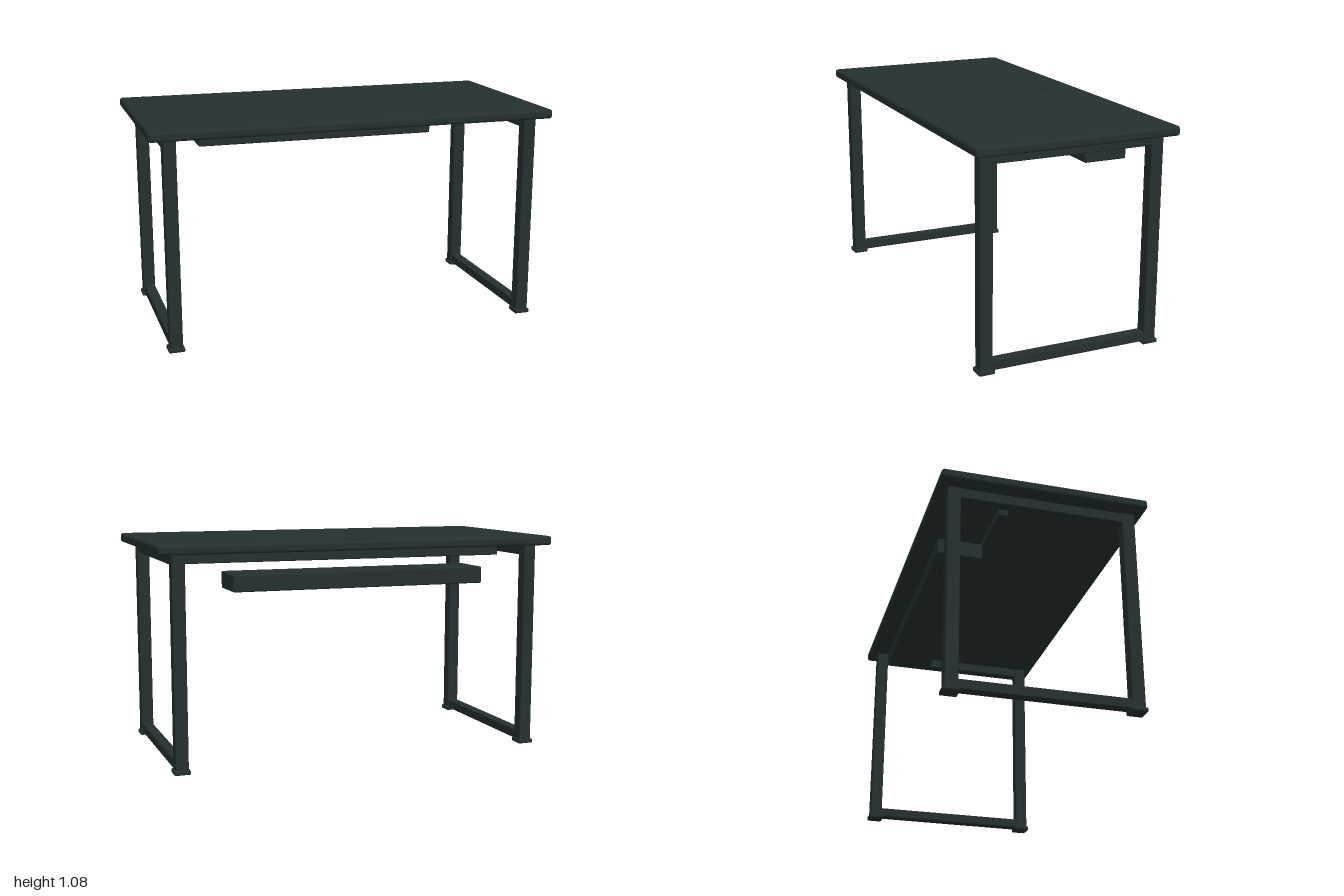
import * as THREE from 'three';
import { RoundedBoxGeometry } from 'three/addons/geometries/RoundedBoxGeometry.js';

export function createModel() {
  const desk = new THREE.Group();
  desk.name = 'desk';
  const charcoal = new THREE.MeshStandardMaterial({ color: 0x243030 });
  charcoal.name = 'charcoal';

  // Softly rounded box given by its extents on each axis
  function box(parent, name, [x0, x1], [y0, y1], [z0, z1], radius) {
    const geo = new RoundedBoxGeometry(x1 - x0, y1 - y0, z1 - z0, 3, radius);
    const mesh = new THREE.Mesh(geo, charcoal);
    mesh.name = name;
    mesh.position.set((x0 + x1) / 2, (y0 + y1) / 2, (z0 + z1) / 2);
    parent.add(mesh);
  }
  const around = (centre, size) => [centre - size / 2, centre + size / 2];

  // Tabletop
  box(desk, 'tabletop', [-1, 1], [1.024, 1.07], [-0.5, 0.5], 0.014);

  // Closed leg frames, one on each side
  for (const side of [-1, 1]) {
    const frame = new THREE.Group();
    frame.name = side > 0 ? 'leftLegFrame' : 'rightLegFrame';
    desk.add(frame);
    const x = side * 0.9;
    for (const end of [-1, 1]) {
      const z = end * 0.425;
      const where = end > 0 ? 'front' : 'back';
      box(frame, where + 'Leg', around(x, 0.062), [0.012, 1.024], around(z, 0.062), 0.006);
      box(frame, where + 'Foot', around(x, 0.078), [0, 0.021], around(z, 0.078), 0.006);
    }
    box(frame, 'topRail', around(x, 0.052), [0.973, 1.024], [-0.42, 0.42], 0.005);
    box(frame, 'bottomRail', around(x, 0.052), [0.013, 0.061], [-0.42, 0.42], 0.005);
  }

  // Cross beam and cable tray under the top
  box(desk, 'crossBeam', [-0.857, 0.857], [0.957, 1.005], [-0.195, -0.147], 0.006);
  box(desk, 'cableTray', [-0.64, 0.64], [0.84, 0.922], [-0.436, -0.214], 0.007);

  // Cable grommet: rounded rim around a flat cap
  const grommet = new THREE.Group();
  grommet.name = 'cableGrommet';
  grommet.position.set(0, 1.07, -0.357);
  const rim = new THREE.Mesh(new THREE.TorusGeometry(0.039, 0.006, 10, 36), charcoal);
  rim.name = 'grommetRim';
  rim.rotation.x = Math.PI / 2;
  rim.position.y = 0.001;
  const cap = new THREE.Mesh(new THREE.CylinderGeometry(0.038, 0.038, 0.012, 36), charcoal);
  cap.name = 'grommetCap';
  grommet.add(rim, cap);
  desk.add(grommet);

  return desk;
}
